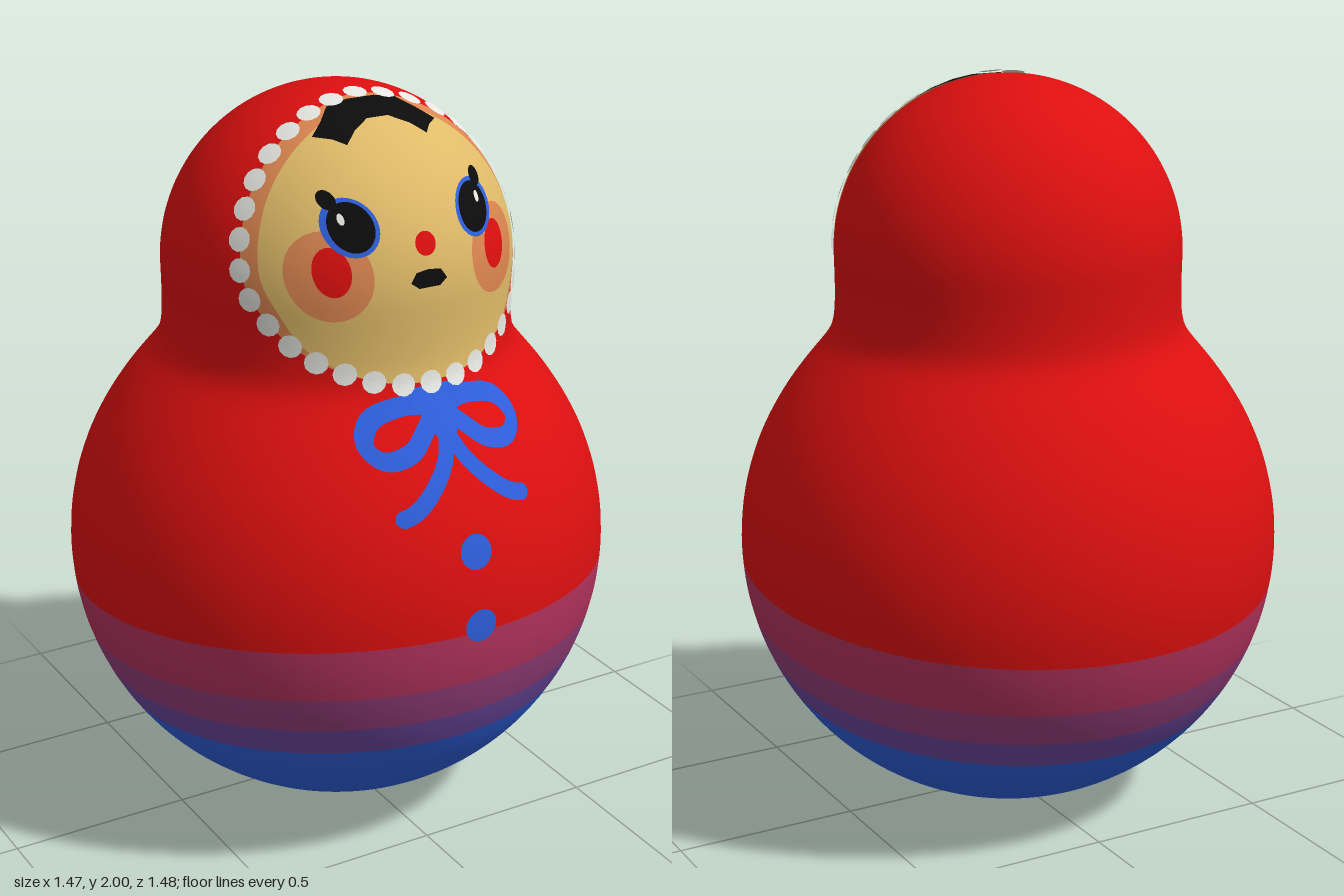
import * as THREE from 'three';

const material = (name, color) => new THREE.MeshStandardMaterial({ name, color, side: THREE.DoubleSide });
const red = material('red', 0xdd0f0f);
const plum = material('plum', 0xb2325c);
const purple = material('purple', 0x923c78);
const violet = material('violet', 0x6a469c);
const blue = material('blue', 0x2d5edb);
const skin = material('skin', 0xdfba68);
const peach = material('peach', 0xdb8550);
const white = material('white', 0xe6e6e2);
const black = material('black', 0x0c0c0c);

const V = (x, y, z) => new THREE.Vector3(x, y, z);
const HEAD_Y = 1.533, HEAD_R = 0.467, BODY_R = 0.735;
const headCentre = V(0, HEAD_Y, 0);

// Radius of the doll at height y: round body, smooth neck, round head
function radius(y) {
  const body = Math.sqrt(Math.max(0, BODY_R ** 2 - (y - BODY_R) ** 2));
  if (y < 1.1) return body;
  const head = y > HEAD_Y ? Math.sqrt(Math.max(0, HEAD_R ** 2 - (y - HEAD_Y) ** 2)) : HEAD_R - 0.02 * (HEAD_Y - y);
  if (y > 1.5) return head;
  const k = 0.05 * Math.sin(Math.PI * (y - 1.1) / 0.4);
  return (body + head + Math.hypot(body - head, k)) / 2;
}

// Move a point onto the doll's surface, raised by lift
function snap(p, lift) {
  if (p.y > HEAD_Y) return p.clone().sub(headCentre).setLength(HEAD_R + lift).add(headCentre);
  const s = (radius(p.y) + lift) / Math.hypot(p.x, p.z);
  return V(p.x * s, p.y, p.z * s);
}

// Point on the front of the doll at (x, y)
const front = (x, y) => V(x, y, Math.sqrt(Math.max(1e-4, radius(y) ** 2 - x * x)));

// Surface from a grid of points, rows of equal length
function grid(rows, closed) {
  const n = rows[0].length, pos = [], index = [];
  rows.flat().forEach(p => pos.push(p.x, p.y, p.z));
  for (let j = 0; j < rows.length - 1; j++) {
    for (let i = 0; i < (closed ? n : n - 1); i++) {
      const a = j * n + i, b = j * n + (i + 1) % n;
      index.push(a, b, b + n, a, b + n, a + n);
    }
  }
  const g = new THREE.BufferGeometry();
  g.setAttribute('position', new THREE.Float32BufferAttribute(pos, 3));
  g.setIndex(index);
  g.computeVertexNormals();
  return g;
}

export function createModel() {
  const model = new THREE.Group();
  model.name = 'nestingDoll';
  const add = (name, geometry, mat, parent = model) => {
    const m = new THREE.Mesh(geometry, mat);
    m.name = name;
    parent.add(m);
    return m;
  };
  const group = name => {
    const g = new THREE.Group();
    g.name = name;
    model.add(g);
    return g;
  };

  // Painted patch: rings shrinking from an outline to a centre, laid on the surface
  const patch = (name, outline, centre, mat, lift, parent, rings = 4) => {
    const rows = [];
    for (let j = 0; j <= rings; j++) {
      rows.push(outline.map(p => snap(p.clone().lerp(centre, Math.min(j / rings, 0.9999)), lift)));
    }
    return add(name, grid(rows, true), mat, parent);
  };
  const oval = (name, x, y, rx, ry, mat, lift, parent) => {
    const pts = Array.from({ length: 28 }, (_, i) => {
      const a = i / 28 * Math.PI * 2;
      return front(x + rx * Math.cos(a), y + ry * Math.sin(a));
    });
    return patch(name, pts, front(x, y), mat, lift, parent);
  };

  // Painted brush stroke along a curve of front points, with rounded ends
  const stroke = (name, pts, width, mat, lift, parent) => {
    const curve = new THREE.CatmullRomCurve3(pts.map(([x, y]) => V(x, y, 0)));
    const n = 40, rows = [];
    for (let i = 0; i <= n; i++) {
      const t = i / n, p = curve.getPointAt(t), d = curve.getTangentAt(t);
      const end = Math.min(1, Math.min(t, 1 - t) * 12);
      const w = width / 2 * Math.sqrt(Math.max(0.02, 1 - (1 - end) ** 2));
      rows.push([-1, 0, 1].map(s => snap(front(p.x - d.y * w * s, p.y + d.x * w * s), lift)));
    }
    add(name, grid(rows.map(r => r.reverse()), false), mat, parent);
  };

  // Body in tilted colour bands, lower at the back
  const N = 96;
  const level = c => a => c + 0.09 * radius(c) * Math.cos(a);
  const band = (name, lo, hi, mat, steps, ease = v => v) => {
    const rows = [];
    for (let j = 0; j <= steps; j++) {
      rows.push(Array.from({ length: N }, (_, i) => {
        const a = i / N * Math.PI * 2, y = lo(a) + (hi(a) - lo(a)) * ease(j / steps), r = radius(y);
        return V(r * Math.sin(a), y, r * Math.cos(a));
      }));
    }
    add(name, grid(rows, true), mat);
  };
  band('base', () => 0, level(0.337), blue, 20, v => v * v);
  band('violetBand', level(0.337), level(0.423), violet, 4);
  band('purpleBand', level(0.423), level(0.525), purple, 4);
  band('plumBand', level(0.525), level(0.67), plum, 6);
  band('shawl', level(0.67), () => 2, red, 90, v => 1 - (1 - v) ** 2);

  // Face outline, right half mirrored to the left
  const half = [[0, 1.335, 0.47], [0.1, 1.342, 0.455], [0.2, 1.37, 0.42], [0.3, 1.425, 0.35], [0.365, 1.5, 0.29],
    [0.4, 1.58, 0.24], [0.4, 1.65, 0.215], [0.375, 1.736, 0.19], [0.34, 1.803, 0.17], [0.28, 1.875, 0.15],
    [0.2, 1.934, 0.13], [0.1, 1.976, 0.11], [0, 1.99, 0.095]];
  const loop = half.concat(half.slice(1, -1).reverse().map(([x, y, z]) => [-x, y, z]));
  const edge = new THREE.CatmullRomCurve3(loop.map(p => snap(V(...p), 0)), true);
  const rim = edge.getSpacedPoints(96).slice(0, 96);
  const faceCentre = front(0, 1.65);
  const face = group('face');
  patch('faceBorder', rim, faceCentre, peach, 0.002, face, 14);
  const inner = rim.map(p => p.clone().lerp(faceCentre, 0.12 * THREE.MathUtils.smoothstep(p.y, 1.34, 1.55)));
  patch('faceSkin', inner, faceCentre, skin, 0.004, face, 14);

  // Lace dots around the face
  const lace = group('lace');
  edge.getSpacedPoints(32).slice(0, 32).forEach(p => {
    const n = p.clone().sub(headCentre).normalize();
    const u = V(0, 1, 0).cross(n).normalize(), v = n.clone().cross(u);
    const ring = Array.from({ length: 12 }, (_, i) => {
      const a = i / 12 * Math.PI * 2;
      return p.clone().addScaledVector(u, 0.031 * Math.cos(a)).addScaledVector(v, 0.031 * Math.sin(a));
    });
    patch('laceDot', ring, p, white, 0.008, lace, 2);
  });

  // Hair on the crown, drawn from above
  const crown = (x, z) => V(x, HEAD_Y + Math.sqrt(HEAD_R ** 2 - x * x - z * z), z);
  const hairSide = [[0.03, 0.205], [0.08, 0.23], [0.115, 0.255], [0.14, 0.225], [0.178, 0.19], [0.14, 0.165], [0.1, 0.125], [0.04, 0.12]];
  const hair = hairSide.concat(hairSide.slice().reverse().map(([x, z]) => [-x, z])).map(([x, z]) => crown(x, z));
  patch('hair', hair, crown(0, 0.165), black, 0.006, face, 6);

  // Eyes and cheeks
  for (const s of [1, -1]) {
    const side = s > 0 ? 'left' : 'right';
    oval(side + 'Cheek', s * 0.237, 1.622, 0.095, 0.11, peach, 0.005, face);
    oval(side + 'CheekSpot', s * 0.235, 1.635, 0.042, 0.06, red, 0.006, face);
    oval(side + 'EyeRing', s * 0.177, 1.737, 0.066, 0.067, blue, 0.0065, face);
    oval(side + 'Pupil', s * 0.175, 1.738, 0.053, 0.057, black, 0.0075, face);
    oval(side + 'Lash', s * 0.213, 1.798, 0.02, 0.021, black, 0.0075, face);
    oval(side + 'Glint', s * 0.195, 1.757, 0.008, 0.013, white, 0.0085, face);
  }

  // Nose and mouth
  oval('nose', 0, 1.688, 0.029, 0.029, red, 0.006, face);
  const lips = [[0.052, 1.598], [0.035, 1.622], [0, 1.627], [-0.035, 1.622], [-0.052, 1.598], [-0.03, 1.582], [0.03, 1.582]];
  patch('mouth', lips.map(p => front(...p)), front(0, 1.604), black, 0.006, face);

  // Bow with loops and tails
  const bow = group('bow');
  const knot = [[0.07, 1.325], [-0.07, 1.325], [-0.055, 1.27], [-0.015, 1.19], [0.015, 1.19], [0.055, 1.27]];
  patch('knot', knot.map(p => front(...p)), front(0, 1.275), blue, 0.006, bow);
  for (const s of [1, -1]) {
    const mirror = pts => pts.map(([x, y]) => [s * x, y]);
    stroke('bowLoop', mirror([[0.02, 1.285], [0.1, 1.29], [0.185, 1.265], [0.215, 1.215], [0.185, 1.182],
      [0.11, 1.192], [0.06, 1.23], [0.01, 1.275]]), 0.042, blue, 0.006, bow);
    stroke('bowTail', mirror([[0, 1.23], [0.03, 1.165], [0.085, 1.105], [0.14, 1.065], [0.195, 1.047]]), 0.04, blue, 0.006, bow);
  }

  // Buttons
  const buttons = group('buttons');
  [0.95, 0.757].forEach(y => oval('button', 0, y, 0.045, 0.044, blue, 0.006, buttons));

  return model;
}
